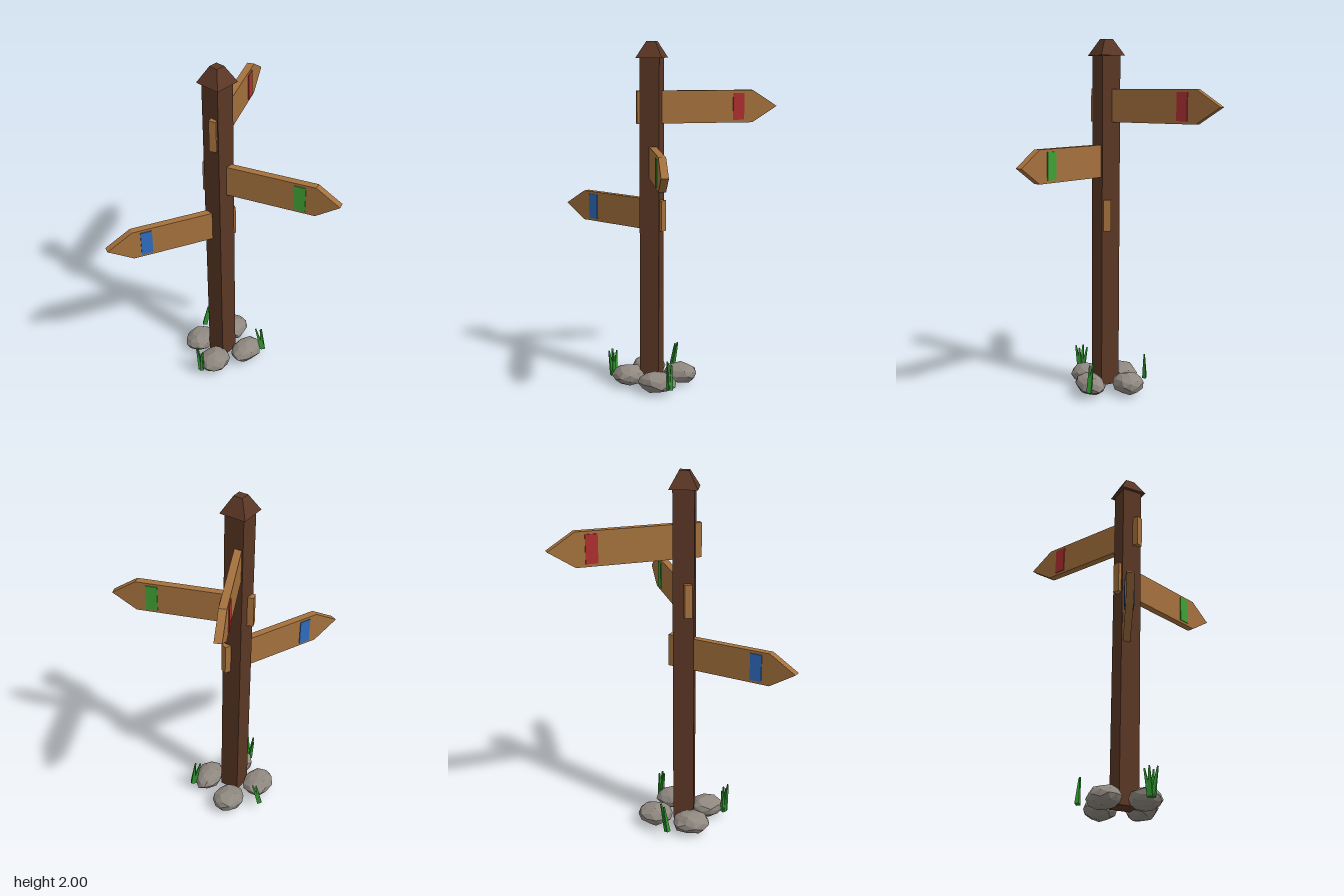
import * as THREE from 'three';

const mat = (name, color) => {
  const m = new THREE.MeshStandardMaterial({ color });
  m.name = name;
  m.flatShading = true;
  return m;
};

export function createModel() {
  const darkWood = mat('dark wood', 0x5b3725);
  const plank = mat('plank wood', 0xa5713d);
  const stone = mat('stone', 0x8f8880);
  const leaf = mat('grass', 0x2f952f);
  const red = mat('red paint', 0xb03030);
  const green = mat('green paint', 0x3fa035);
  const blue = mat('blue paint', 0x2f6cc0);

  const model = new THREE.Group();
  model.name = 'signpost';
  const PX = -0.03, PZ = -0.17;
  const add = (parent, name, geo, material, x = 0, y = 0, z = 0) => {
    const mesh = new THREE.Mesh(geo, material);
    mesh.name = name;
    mesh.position.set(x, y, z);
    parent.add(mesh);
    return mesh;
  };

  // Square post and its truncated pyramid cap
  add(model, 'post', new THREE.BoxGeometry(0.113, 1.87, 0.113), darkWood, PX, 0.975, PZ);
  const cap = new THREE.CylinderGeometry(0.037, 0.106, 0.09, 4).rotateY(Math.PI / 4);
  add(model, 'cap', cap, darkWood, PX, 1.955, PZ);

  // Arrow boards, each with a painted band on both faces
  const T = 0.04;
  const addSign = (name, y, half, angle, tip, shoulder, band, paint) => {
    const sign = new THREE.Group();
    sign.name = name;
    sign.position.set(PX, y, PZ);
    sign.rotation.y = THREE.MathUtils.degToRad(angle);
    const shape = new THREE.Shape();
    shape.moveTo(-0.088, -half);
    shape.lineTo(shoulder, -half);
    shape.lineTo(tip, 0);
    shape.lineTo(shoulder, half);
    shape.lineTo(-0.088, half);
    shape.closePath();
    const board = new THREE.ExtrudeGeometry(shape, { depth: T, bevelEnabled: false });
    add(sign, 'arrowBoard', board.translate(0, 0, -T / 2), plank);
    for (const s of [-1, 1]) {
      add(sign, 'paintedBand', new THREE.BoxGeometry(0.065, half * 1.66, 0.006),
        paint, band, 0, s * (T / 2 + 0.002));
    }
    model.add(sign);
  };
  addSign('upperSign', 1.637, 0.0915, 25, 0.723, 0.58, 0.498, red);
  addSign('middleSign', 1.33, 0.09, -70, 0.695, 0.56, 0.472, green);
  addSign('lowerSign', 1.026, 0.0885, 155, 0.66, 0.515, 0.438, blue);

  // Rocks: icosahedra roughened by a rule on vertex position
  const rocks = [
    [-0.08, -0.308, 0.106, 0.088, 0.3],
    [0.128, -0.23, 0.103, 0.09, 1.7],
    [-0.153, -0.115, 0.104, 0.09, 2.9],
    [0.037, -0.033, 0.113, 0.081, 4.1],
  ];
  for (const [x, z, rx, rz, seed] of rocks) {
    const geo = new THREE.IcosahedronGeometry(1, 1).rotateY(seed);
    const p = geo.attributes.position;
    const v = new THREE.Vector3();
    for (let i = 0; i < p.count; i++) {
      v.fromBufferAttribute(p, i);
      v.multiplyScalar(0.96 + 0.08 * Math.sin(v.x * 5 + seed * 3) * Math.cos(v.z * 4 + v.y * 3 + seed));
      p.setXYZ(i, v.x * rx, v.y * 0.062, v.z * rz);
    }
    geo.computeVertexNormals();
    add(model, 'rock', geo, stone, x, 0.066, z);
  }

  // Grass tufts: tapered blades leaning from a base to each tip
  const tufts = [
    { base: [-0.255, -0.135], tips: [[-0.275, -0.11], [-0.245, -0.17], [-0.268, -0.155], [-0.25, -0.12]] },
    { base: [0.13, 0.032], tips: [[0.103, -0.012], [0.133, 0.008], [0.115, 0.015]] },
    { base: [0.033, -0.402], tips: [[0.08, -0.368], [0.062, -0.38]] },
  ];
  const up = new THREE.Vector3(0, 1, 0);
  for (const { base, tips } of tufts) {
    const tuft = new THREE.Group();
    tuft.name = 'grassTuft';
    tips.forEach(([tx, tz], i) => {
      const k = 0.25;
      const a = new THREE.Vector3(base[0] + (tx - base[0]) * k, 0.05, base[1] + (tz - base[1]) * k);
      const b = new THREE.Vector3(tx, 0.203 - 0.012 * (i % 2), tz);
      const dir = b.clone().sub(a);
      const blade = add(tuft, 'blade', new THREE.CylinderGeometry(0.005, 0.016, dir.length(), 4), leaf);
      blade.position.copy(a).add(b).multiplyScalar(0.5);
      blade.quaternion.setFromUnitVectors(up, dir.normalize());
    });
    model.add(tuft);
  }
  return model;
}
